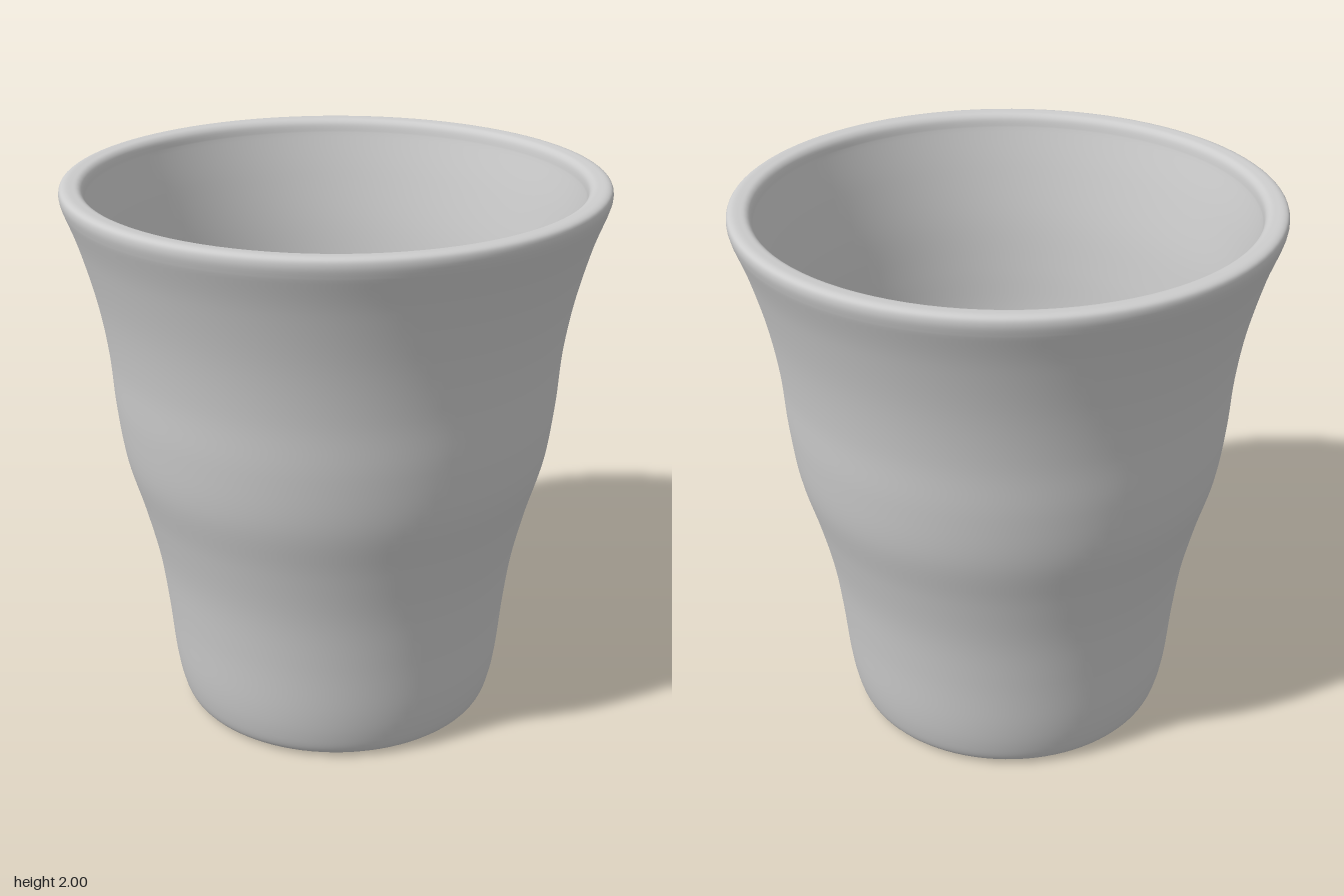
import * as THREE from 'three';

// Smooth curve through [radius, height] points
function profile(points, divisions) {
  const curve = new THREE.SplineCurve(points.map(([r, y]) => new THREE.Vector2(r, y)));
  return curve.getPoints(divisions);
}

export function createModel() {
  const cup = new THREE.Group();
  cup.name = 'cup';
  const ceramic = new THREE.MeshStandardMaterial({ color: 0xcccccc });
  ceramic.name = 'grey ceramic';

  // Every part is turned around the same axis
  function turned(name, points) {
    const mesh = new THREE.Mesh(new THREE.LatheGeometry(points, 96), ceramic);
    mesh.name = name;
    cup.add(mesh);
  }

  // Flat underside
  turned('base', [new THREE.Vector2(0, 0), new THREE.Vector2(0.54, 0)]);

  // Wavy outer wall, rounded at the foot
  const outer = profile([
    [0.54, 0], [0.575, 0.025], [0.598, 0.09], [0.617, 0.2], [0.637, 0.4], [0.665, 0.6],
    [0.712, 0.8], [0.768, 1.0], [0.796, 1.2], [0.812, 1.4], [0.845, 1.6], [0.898, 1.8],
    [0.945, 1.93],
  ], 72);

  // Softly rounded rim
  const rim = profile([
    [0.945, 1.93], [0.954, 1.965], [0.951, 1.99], [0.935, 2.0], [0.91, 2.0],
    [0.888, 1.996], [0.873, 1.98], [0.867, 1.95],
  ], 28);

  // Inner wall follows the outer waves down to a filleted floor
  const inner = profile([
    [0.867, 1.95], [0.828, 1.8], [0.788, 1.6], [0.765, 1.4], [0.748, 1.2], [0.713, 1.0],
    [0.655, 0.8], [0.61, 0.6], [0.585, 0.4], [0.568, 0.25], [0.548, 0.15],
    [0.525, 0.115], [0.49, 0.1],
  ], 72);

  turned('wall', [...outer, ...rim.slice(1), ...inner.slice(1),
    new THREE.Vector2(0.45, 0.1), new THREE.Vector2(0, 0.1)]);

  return cup;
}
